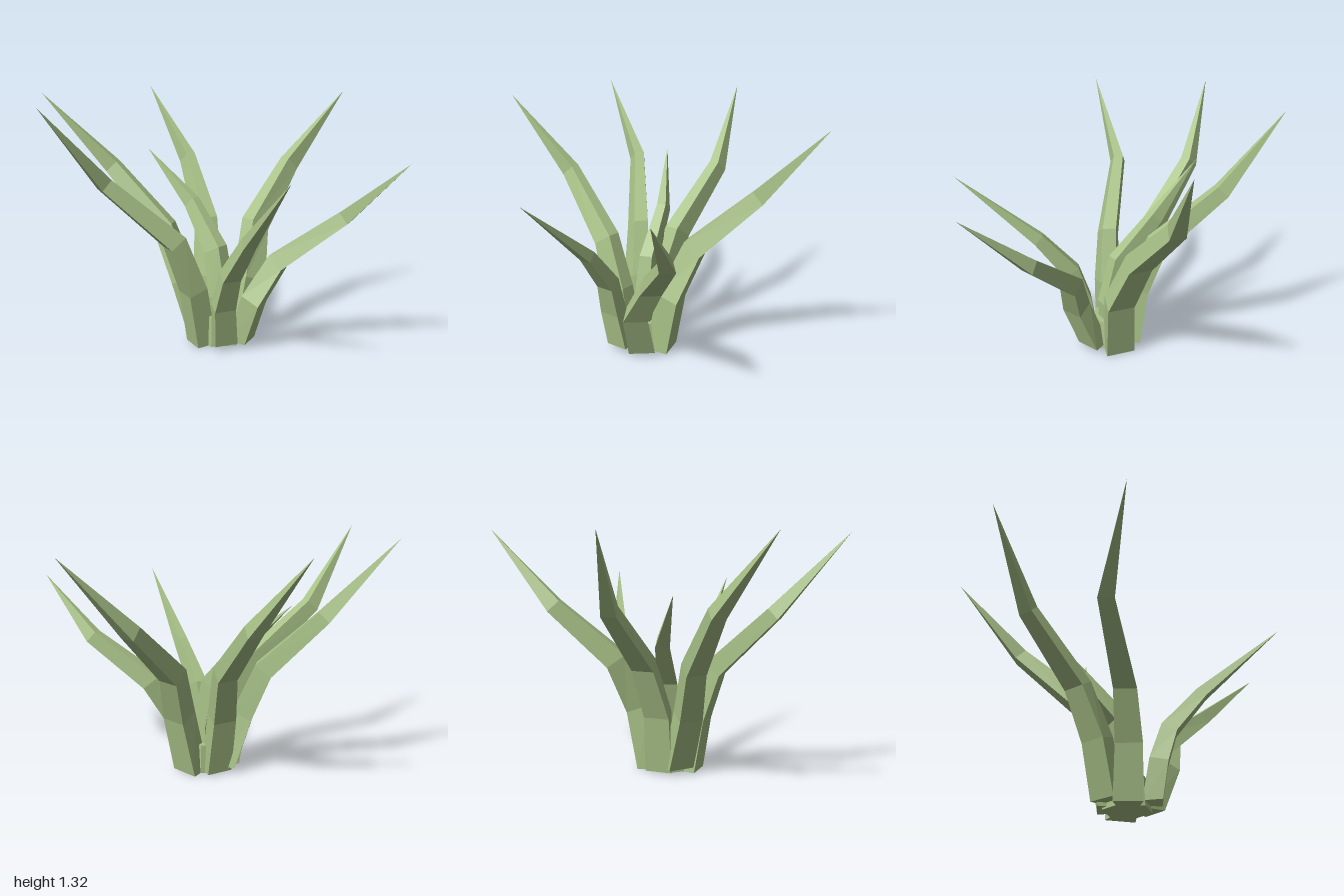
import * as THREE from 'three';

const green = new THREE.MeshStandardMaterial({ color: 0xa9c288, flatShading: true });

// Each leaf: centre line from root to tip, and an overall thickness scale
const LEAVES = [
  { name: 'backLeftLeaf', size: 1.1, path: [[0.05, 0, -0.01], [0.1, 0.33, -0.06], [0.09, 0.6, -0.19], [0.19, 0.9, -0.51], [0.44, 1.3, -0.79]] },
  { name: 'backRightLeaf', size: 1, path: [[-0.07, 0.01, 0.01], [-0.11, 0.33, -0.02], [-0.16, 0.61, -0.12], [-0.38, 0.92, -0.38], [-0.7, 1.32, -0.55]] },
  { name: 'innerLeaf', size: 0.9, path: [[0, 0.02, 0.07], [0.01, 0.25, 0.08], [-0.04, 0.5, 0.05], [-0.22, 0.73, -0.05], [-0.51, 1, -0.11]] },
  { name: 'rightLeaf', size: 1, path: [[-0.12, 0.03, 0.07], [-0.21, 0.33, 0.09], [-0.33, 0.6, 0.07], [-0.65, 0.92, 0.05], [-1, 1.32, 0.19]] },
  { name: 'frontRightLeaf', size: 1, path: [[-0.08, 0, 0.16], [-0.11, 0.3, 0.2], [-0.19, 0.57, 0.26], [-0.49, 0.89, 0.45], [-0.66, 1.3, 0.78]] },
  { name: 'frontLeftLeaf', size: 0.85, path: [[0.05, 0.03, 0.2], [0.06, 0.24, 0.24], [0.11, 0.42, 0.27], [0.25, 0.63, 0.38], [0.555, 1, 0.69]] },
  { name: 'leftLeaf', size: 0.95, path: [[0.11, 0.02, 0.1], [0.2, 0.27, 0.14], [0.31, 0.47, 0.07], [0.65, 0.72, 0.02], [0.99, 1.03, 0.13]] },
];
const WIDTH = [0.15, 0.14, 0.12, 0.085, 0];
const DEPTH = [0.12, 0.115, 0.105, 0.075, 0];
// Keel-shaped section: broad outer face, narrower inner face
const SECTION = [[-0.5, -0.5], [0.5, -0.5], [0.32, 0.5], [-0.32, 0.5]];

// Lofts the four-sided section along the centre line to a point
function leafGeometry(path, size) {
  const pts = path.map((p) => new THREE.Vector3(...p));
  const last = pts.length - 1;
  const out = pts[last].clone().sub(pts[0]).setY(0).normalize();
  const side = new THREE.Vector3(out.z, 0, -out.x);

  const rings = pts.map((p, i) => {
    const tangent = new THREE.Vector3(0, 1, 0);
    if (i > 0) {
      tangent.subVectors(p, pts[i - 1]).normalize();
      if (i < last) tangent.add(pts[i + 1].clone().sub(p).normalize()).normalize();
    }
    const inward = new THREE.Vector3().crossVectors(tangent, side).normalize();
    return SECTION.map(([u, v]) => p.clone()
      .addScaledVector(side, u * WIDTH[i] * size)
      .addScaledVector(inward, v * DEPTH[i] * size));
  });

  const tris = [];
  for (let i = 0; i < last; i++) {
    for (let k = 0; k < 4; k++) {
      const n = (k + 1) % 4;
      const [a, b, c, d] = [rings[i][k], rings[i][n], rings[i + 1][n], rings[i + 1][k]];
      tris.push(a, b, c);
      if (i < last - 1) tris.push(a, c, d);
    }
  }
  // Root cap
  const [a, b, c, d] = rings[0];
  tris.push(a, c, b, a, d, c);

  const geometry = new THREE.BufferGeometry().setFromPoints(tris);
  geometry.computeVertexNormals();
  return geometry;
}

export function createModel() {
  const plant = new THREE.Group();
  plant.name = 'spikyPlant';

  for (const { name, path, size } of LEAVES) {
    const leaf = new THREE.Mesh(leafGeometry(path, size), green);
    leaf.name = name;
    plant.add(leaf);
  }

  // Short core holding the leaves together
  const core = new THREE.Mesh(new THREE.CylinderGeometry(0.12, 0.13, 0.16, 6), green);
  core.name = 'core';
  core.position.set(-0.01, 0.08, 0.08);
  plant.add(core);

  return plant;
}
